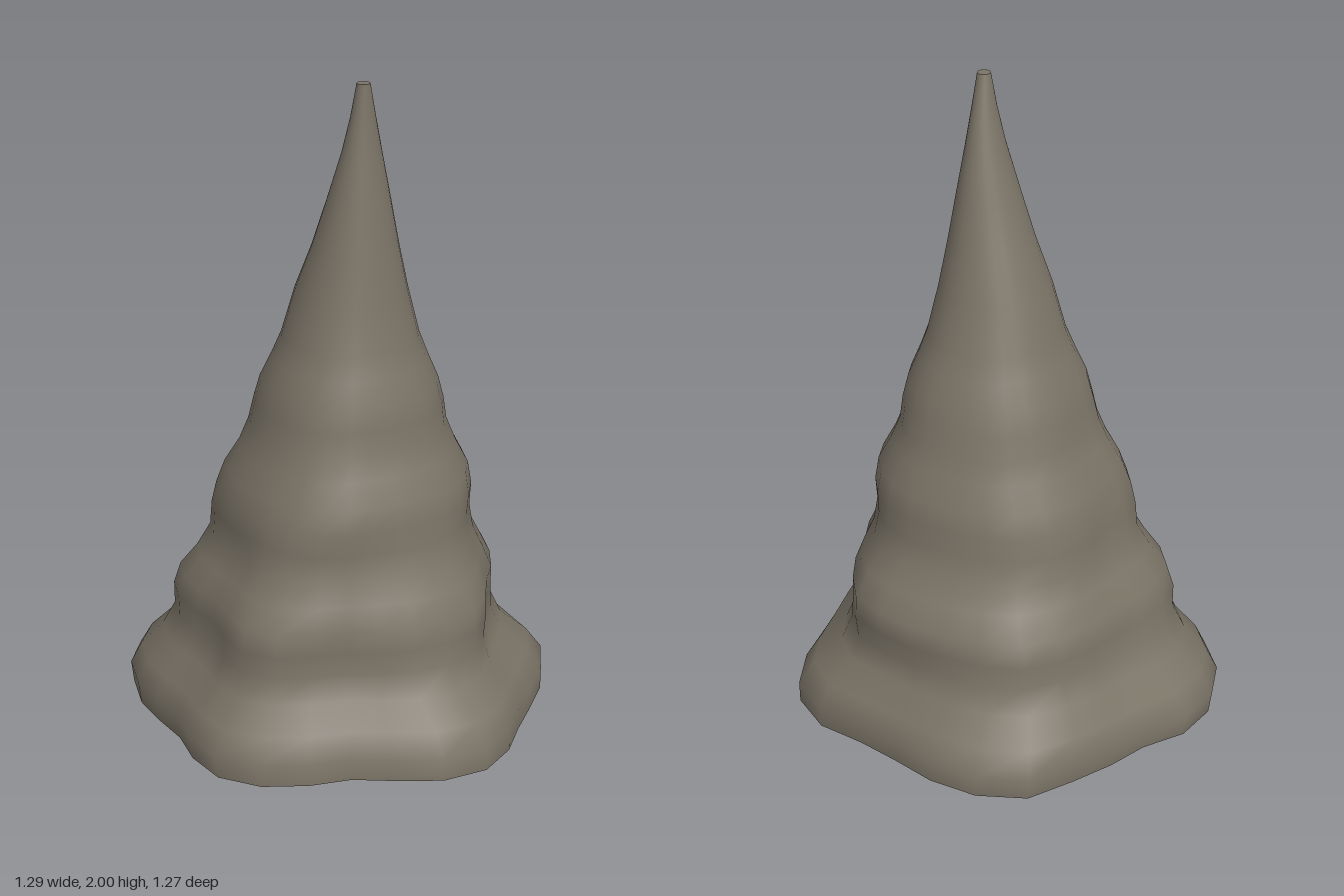
import * as THREE from 'three';

const SEGMENTS = 28;

// Lobed outlines seen from above, as x, z pairs running from the front towards +x
const baseOutline = [0, .63, .15, .6, .27, .5, .35, .395, .475, .335, .59, .245, .645, .105,
  .615, -.04, .565, -.17, .535, -.305, .495, -.43, .415, -.555, .28, -.61, .13, -.605,
  0, -.62, -.13, -.64, -.28, -.63, -.42, -.575, -.48, -.43, -.54, -.305, -.55, -.165,
  -.63, -.04, -.65, .105, -.6, .25, -.5, .36, -.37, .435, -.25, .485, -.135, .575];
const middleOutline = [0, .5, .12, .48, .25, .34, .37, .26, .47, .12, .51, -.03, .42, -.2,
  .34, -.36, .23, -.5, .12, -.525, -.1, -.515, -.22, -.49, -.33, -.45, -.4, -.36,
  -.44, -.25, -.46, -.1, -.485, .08, -.47, .2, -.38, .3, -.2, .37, -.11, .44];
const upperOutline = [.05, .365, .19, .34, .3, .2, .38, .07, .405, -.03, .37, -.18, .3, -.3,
  .19, -.38, 0, -.4, -.12, -.38, -.28, -.3, -.345, -.18, -.35, 0, -.34, .16, -.25, .25, -.1, .33];

// Height, then the extents: -x, +x, +z, -z
const rows = [
  [0, -.64, .645, .635, -.63], [.07, -.65, .645, .64, -.635], [.14, -.61, .605, .6, -.595],
  [.215, -.535, .53, .53, -.525], [.29, -.49, .505, .5, -.507], [.36, -.485, .51, .505, -.52],
  [.43, -.46, .503, .49, -.515], [.5, -.405, .465, .44, -.465], [.57, -.368, .425, .39, -.42],
  [.645, -.36, .406, .378, -.4], [.715, -.347, .402, .37, -.395], [.785, -.325, .39, .345, -.38],
  [.86, -.28, .35, .31, -.345], [.93, -.255, .32, .28, -.322], [1, -.24, .315, .265, -.305],
  [1.07, -.22, .3, .25, -.285], [1.145, -.185, .27, .22, -.253], [1.215, -.157, .247, .192, -.222],
  [1.36, -.115, .217, .16, -.18], [1.5, -.06, .195, .127, -.137], [1.64, -.012, .173, .1, -.103],
  [1.79, .038, .15, .07, -.063], [1.9, .068, .138, .052, -.03], [2, .09, .13, .04, 0],
];

// Radius of an outline at evenly spaced angles, centred and scaled to a unit box
function unitRing(outline) {
  const polar = [];
  for (let i = 0; i < outline.length; i += 2) {
    const [x, z] = [outline[i], outline[i + 1]];
    let angle = Math.atan2(x, z);
    if (angle < -1e-6) angle += 2 * Math.PI;
    polar.push([angle, Math.hypot(x, z)]);
  }
  const first = polar[0], last = polar[polar.length - 1];
  polar.push([first[0] + 2 * Math.PI, first[1]]);
  polar.unshift([last[0] - 2 * Math.PI, last[1]]);
  const points = [];
  for (let i = 0; i < SEGMENTS; i++) {
    const angle = i / SEGMENTS * 2 * Math.PI;
    let k = 0;
    while (k < polar.length - 2 && polar[k + 1][0] < angle) k++;
    const [a, ra] = polar[k], [b, rb] = polar[k + 1];
    const r = THREE.MathUtils.lerp(ra, rb, (angle - a) / (b - a));
    points.push(new THREE.Vector2(Math.sin(angle) * r, Math.cos(angle) * r));
  }
  return normalise(points);
}

function normalise(points) {
  const box = new THREE.Box2().setFromPoints(points);
  const centre = box.getCenter(new THREE.Vector2());
  const half = box.getSize(new THREE.Vector2()).multiplyScalar(0.5);
  return points.map((p) => p.clone().sub(centre).divide(half));
}

export function createModel() {
  const group = new THREE.Group();
  group.name = 'stalagmite';
  const stone = new THREE.MeshStandardMaterial({ color: 0x7b7467, side: THREE.DoubleSide });
  stone.name = 'stone';

  const circle = Array.from({ length: SEGMENTS }, (_, i) => {
    const a = i / SEGMENTS * 2 * Math.PI;
    return new THREE.Vector2(Math.sin(a), Math.cos(a));
  });
  const keys = [[0.07, unitRing(baseOutline)], [0.38, unitRing(middleOutline)],
    [0.72, unitRing(upperOutline)], [1.6, circle]];

  // Blend of the outlines at a given height
  function ringAt(y) {
    if (y <= keys[0][0]) return keys[0][1];
    for (let k = 0; k < keys.length - 1; k++) {
      const [y0, a] = keys[k], [y1, b] = keys[k + 1];
      if (y <= y1) return normalise(a.map((p, i) => p.clone().lerp(b[i], (y - y0) / (y1 - y0))));
    }
    return circle;
  }

  // Rippled, leaning cone, open underneath
  const positions = [], indices = [];
  rows.forEach(([y, left, right, front, back], j) => {
    for (const p of ringAt(y)) {
      positions.push((left + right) / 2 + p.x * (right - left) / 2, y,
        (front + back) / 2 + p.y * (front - back) / 2);
    }
    if (j === rows.length - 1) return;
    for (let i = 0; i < SEGMENTS; i++) {
      const a = j * SEGMENTS + i, b = j * SEGMENTS + (i + 1) % SEGMENTS;
      indices.push(a, b, b + SEGMENTS, a, b + SEGMENTS, a + SEGMENTS);
    }
  });
  const geometry = new THREE.BufferGeometry();
  geometry.setAttribute('position', new THREE.Float32BufferAttribute(positions, 3));
  geometry.setIndex(indices);
  geometry.computeVertexNormals();
  const body = new THREE.Mesh(geometry, stone);
  body.name = 'rippledCone';
  group.add(body);

  // Small flat tip
  const tip = new THREE.Mesh(new THREE.CircleGeometry(0.02, SEGMENTS), stone);
  tip.name = 'flatTip';
  tip.rotation.x = -Math.PI / 2;
  tip.position.set(0.11, 2, 0.02);
  group.add(tip);
  return group;
}
